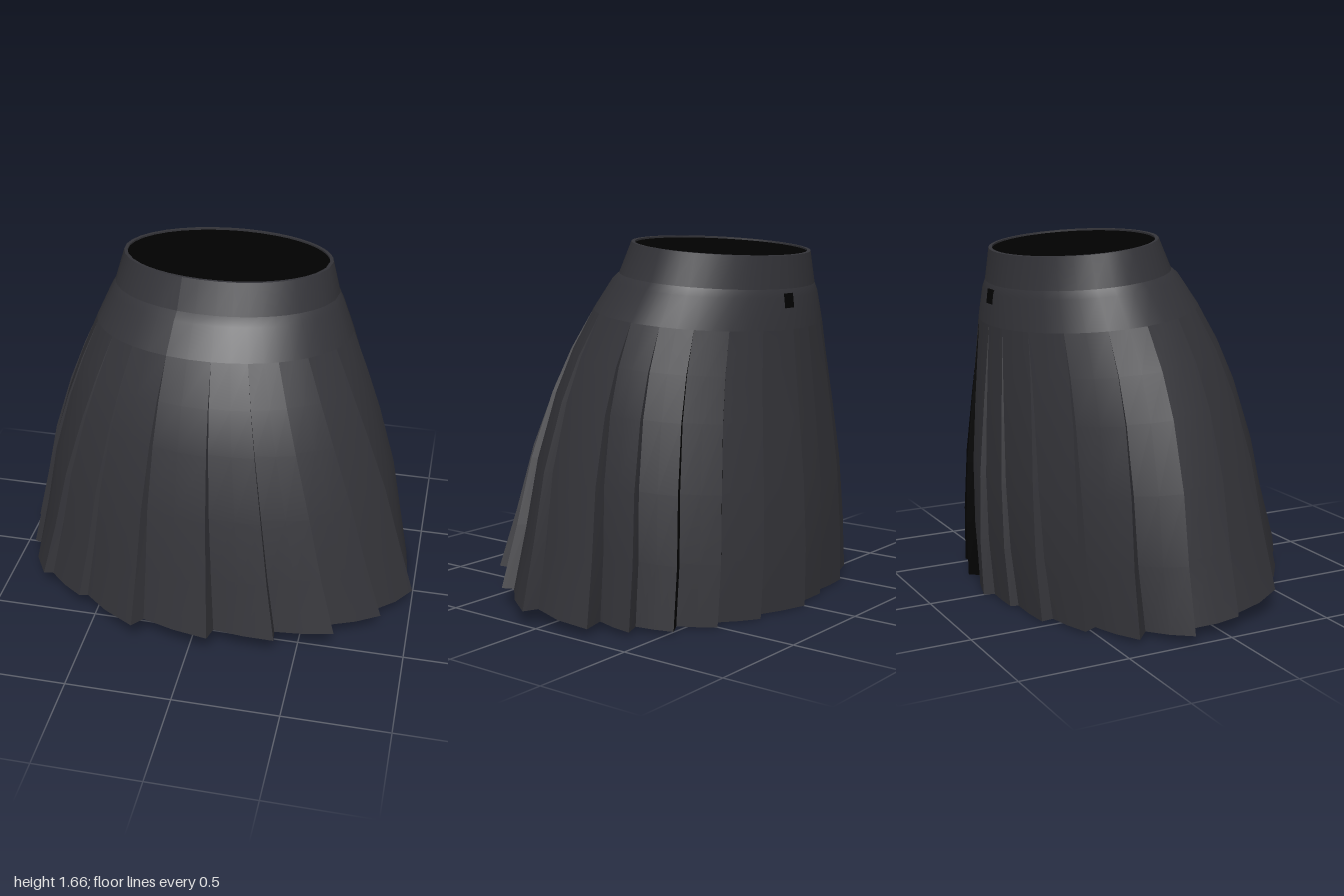
import * as THREE from 'three';

const cloth = new THREE.MeshStandardMaterial({ color: 0x343439, side: THREE.DoubleSide });
cloth.name = 'charcoal cloth';
const black = new THREE.MeshStandardMaterial({ color: 0x010101, side: THREE.DoubleSide });
black.name = 'black lining';

const RAD = Math.PI / 180;
// Each level is a tilted ellipse: height at z = 0, half width, front z, back z, bow
const RIM = [1.66, 0.49, 0.1, -0.625];
const BAND = [1.515, 0.53, 0.16, -0.642];
const YOKE = [1.48, 0.55, 0.2, -0.655];
const SKIRT = [
  [1.34, 0.61, 0.29, -0.672],
  [1.15, 0.69, 0.4, -0.688],
  [0.95, 0.765, 0.49, -0.705],
  [0.65, 0.86, 0.59, -0.728],
  [0.35, 0.93, 0.66, -0.735],
  [0.062, 1.005, 0.73, -0.725, 0.035],
];
// Pleat edges from the front towards +x: angle, how far the hem is drawn in, fold depth at the hem
const EDGES = [
  [-15, 0, 0.075], [6, 0, 0.08], [24, 0, 0.075], [42, 0, 0.08], [62, 0.02, 0.075], [84, 0, 0.075],
  [110, 0, 0.11], [123, 0, 0.075], [136, 0, 0.065], [149, 0, 0.055], [163, 0, 0.05],
  [180, -0.01, 0.035], [192, 0.02, 0.05], [207, 0, 0.05], [222, 0, 0.06], [239, -0.03, 0.06],
  [256, -0.025, 0.06], [276, 0.06, 0.09], [302, 0.06, 0.1], [322, 0.08, 0.11], [345, 0, 0.075],
];
// Folds at the back that show the lining
const LINED = [136, 149, 163];

// Point on a level, pushed inwards by inset
function at([y, rx, zf, zb, bow = 0], deg, inset = 0, drop = 0) {
  const a = deg * RAD;
  const z = (zf + zb) / 2 + ((zf - zb) / 2 - inset) * Math.cos(a);
  return [(rx - inset) * Math.sin(a), y - drop + 0.1 * z + bow * z * z, z];
}

// Surface through rows of points, listed from the top down
function loft(name, rows, material) {
  const n = rows[0].length, index = [];
  for (let r = 0; r < rows.length - 1; r++) {
    for (let c = 0; c < n - 1; c++) {
      const a = r * n + c, b = a + n;
      index.push(a, b, a + 1, a + 1, b, b + 1);
    }
  }
  const g = new THREE.BufferGeometry();
  g.setAttribute('position', new THREE.Float32BufferAttribute(rows.flat(2), 3));
  g.setIndex(index);
  g.computeVertexNormals();
  const mesh = new THREE.Mesh(g, material);
  mesh.name = name;
  return mesh;
}

// How far a pleat has opened at a level: 0 at the yoke, 1 at the hem
const opening = (i) => (SKIRT[0][0] - SKIRT[i][0]) / (SKIRT[0][0] - SKIRT[5][0]);
// Side pleats hang nearly straight, so their tops sit further forward on the ellipse
const lean = (deg, i) => {
  const s = Math.sin(deg * RAD);
  return deg - (2.5 + 16 * s * Math.abs(s)) * (1 - opening(i));
};

export function createModel() {
  const skirt = new THREE.Group();
  skirt.name = 'pleatedSkirt';

  // Angles shared by the yoke and the tops of the pleats
  const ring = [];
  for (let p = 0; p < EDGES.length - 1; p++) {
    const from = EDGES[p][0], to = EDGES[p + 1][0];
    ring.push(lean(from, 0), lean((from + to) / 2, 0));
  }
  ring.push(lean(345, 0));
  const row = (level, inset, drop) => ring.map((d) => at(level, d, inset, drop));

  // Waistband, its lip and the dark opening
  skirt.add(loft('waistband', [row(RIM), row(BAND)], cloth));
  skirt.add(loft('waistbandLip', [row(RIM, 0.016), row(RIM)], cloth));
  skirt.add(loft('waistbandInside', [row(RIM, 0.016, 0.008), row(RIM, 0.016)], cloth));
  const middle = (RIM[2] + RIM[3]) / 2;
  const centre = ring.map(() => [0, RIM[0] - 0.008 + 0.1 * middle, middle]);
  skirt.add(loft('waistOpening', [centre, row(RIM, 0.016, 0.008)], black));

  // Smooth yoke under the band
  skirt.add(loft('yoke', [row(BAND), row(YOKE), row(SKIRT[0])], cloth));

  // Knife pleats: a sloping panel, then a fold dropping inwards at its edge
  const pleats = new THREE.Group();
  pleats.name = 'pleats';
  for (let p = 0; p < EDGES.length - 1; p++) {
    const [from, , valley] = EDGES[p], [to, drawn, depth] = EDGES[p + 1];
    const drawnBefore = Math.max(EDGES[p][1], 0);
    const panel = SKIRT.map((level, i) => {
      const start = from + 1.5 * opening(i);
      const inner = Math.max(valley, drawnBefore);
      return [0, 0.5, 1].map((k) =>
        at(level, lean(start + (to - start) * k, i), opening(i) * (inner * (1 - k) + drawn * k)));
    });
    pleats.add(loft('pleatPanel', panel, cloth));

    const fold = SKIRT.map((level, i) => [
      at(level, lean(to, i), drawn * opening(i)),
      at(level, lean(to + 1.5 * opening(i), i), depth * opening(i)),
    ]);
    pleats.add(loft('pleatFold', fold, LINED.includes(to) ? black : cloth));
  }
  skirt.add(pleats);

  // Small dark fastening at the back of the yoke
  const fastening = new THREE.Mesh(new THREE.BoxGeometry(0.06, 0.065, 0.008), black);
  fastening.name = 'backFastening';
  fastening.position.set(0.04, 1.4, -0.656);
  fastening.rotation.x = 0.12;
  skirt.add(fastening);

  return skirt;
}
